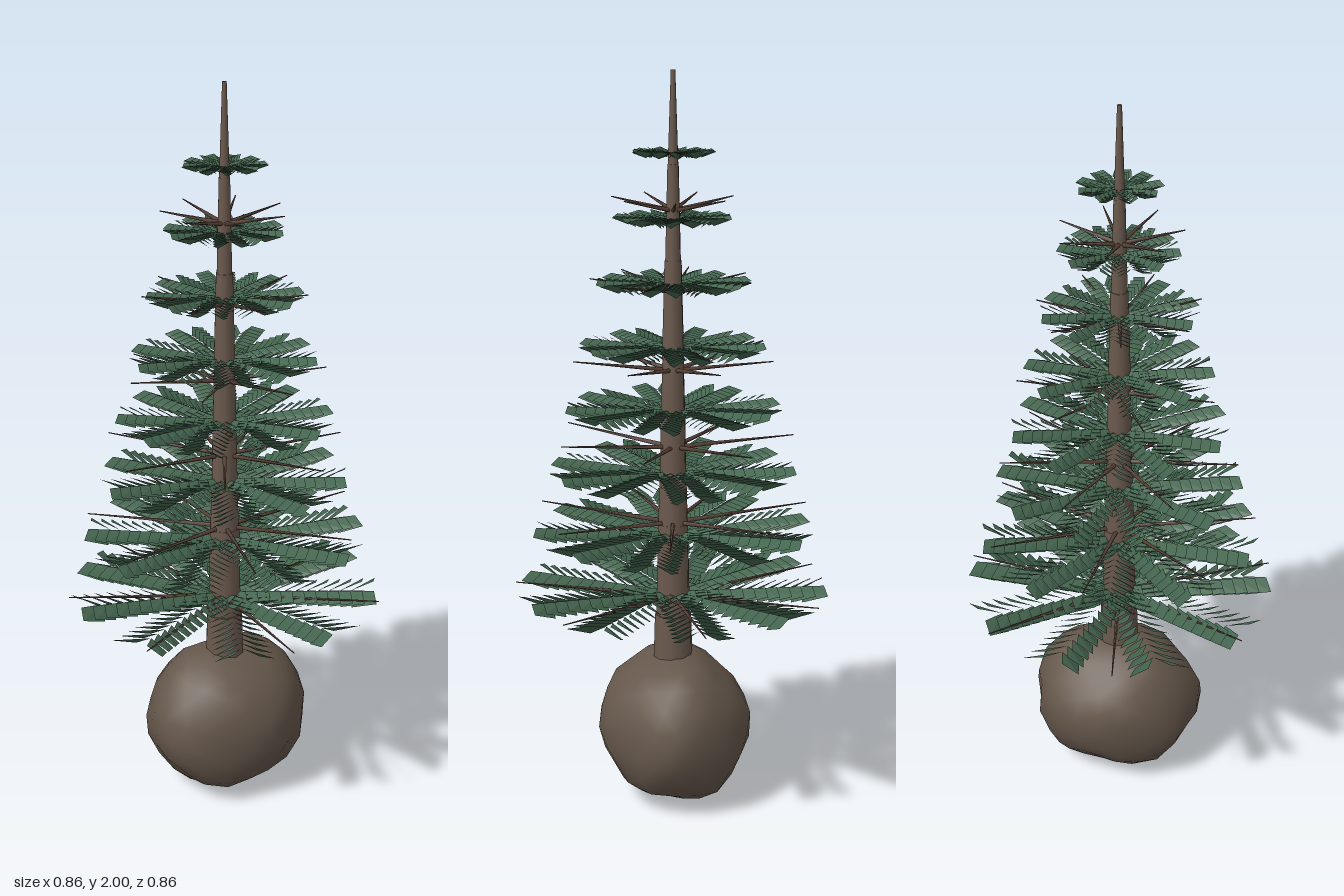
import * as THREE from 'three';
import { mergeVertices, mergeGeometries } from 'three/addons/utils/BufferGeometryUtils.js';

const AXIS = -0.008; // the trunk stands slightly off centre

const bark = new THREE.MeshStandardMaterial({ color: 0x6b5a4e });
bark.name = 'bark';
const twig = new THREE.MeshStandardMaterial({ color: 0x5a4238 });
twig.name = 'twig brown';
const soil = new THREE.MeshStandardMaterial({ color: 0x65574b });
soil.name = 'soil';
const needle = new THREE.MeshStandardMaterial({ color: 0x456650, side: THREE.DoubleSide });
needle.name = 'needle green';

function addMesh(parent, name, geometry, material) {
  const mesh = new THREE.Mesh(geometry, material);
  mesh.name = name;
  parent.add(mesh);
  return mesh;
}

// Lumpy root ball, smooth shaded over a coarse sphere
function rootBallGeometry() {
  let g = new THREE.IcosahedronGeometry(1, 3);
  g.deleteAttribute('uv');
  g.deleteAttribute('normal');
  g = mergeVertices(g, 1e-4);
  let seed = 7;
  const random = () => (seed = (seed * 16807) % 2147483647) / 2147483647;
  const p = g.attributes.position;
  const v = new THREE.Vector3();
  for (let i = 0; i < p.count; i++) {
    v.fromBufferAttribute(p, i);
    const wave = 0.04 * Math.sin(5 * v.x + 1) * Math.cos(4 * v.y) + 0.03 * Math.sin(6 * v.z + 3 * v.y);
    v.multiplyScalar(1 + wave + (random() - 0.5) * 0.04);
    p.setXYZ(i, v.x * 0.24, Math.max(v.y * 0.212 + 0.212, 0), v.z * 0.207);
  }
  g.computeVertexNormals();
  return g;
}

// Whorl of bare tapering twigs rising slightly outwards
function twigWhorl(y, length, rise, turn) {
  const parts = [];
  for (let i = 0; i < 7; i++) {
    const a = turn + (i * Math.PI * 2) / 7;
    const dir = new THREE.Vector3(length * Math.cos(a), rise, length * Math.sin(a));
    const g = new THREE.CylinderGeometry(0.0015, 0.007, dir.length(), 5);
    g.translate(0, dir.length() / 2, 0);
    const q = new THREE.Quaternion().setFromUnitVectors(new THREE.Vector3(0, 1, 0), dir.clone().normalize());
    g.applyQuaternion(q);
    g.translate(0, y, 0);
    parts.push(g);
  }
  return mergeGeometries(parts);
}

// One leaf: root, outer edge, tip, drooping inner edge as (along, across, up)
const LEAF = [[0, 0, 0], [0.061, 0.03, 0.014], [0.067, 0.082, 0], [0, 0.05, -0.028]];

// Ring of nine fronds, each a double row of overlapping leaves
function frondTier(y, reach, turn) {
  const positions = [];
  const size = 0.35 + 0.65 * (reach / 0.425);
  const last = reach - 0.067 * size;
  const rows = Math.max(5, Math.round(last / (0.029 * size)));
  for (let f = 0; f < 9; f++) {
    const a = turn + (f * Math.PI * 2) / 9;
    const c = Math.cos(a), s = Math.sin(a);
    for (let i = 0; i < rows; i++) {
      const r = 0.015 + (last - 0.015) * (i / (rows - 1));
      const scale = size * (0.75 + 0.25 * (i / (rows - 1)));
      for (const side of [-1, 1]) {
        const quad = LEAF.map(([along, across, up]) => {
          const u = r + along * scale, w = side * across * scale;
          return [u * c - w * s, y + up * scale + 0.03 * r, u * s + w * c];
        });
        const order = side > 0 ? [0, 2, 1, 0, 3, 2] : [0, 1, 2, 0, 2, 3];
        for (const k of order) positions.push(...quad[k]);
      }
    }
  }
  const g = new THREE.BufferGeometry();
  g.setAttribute('position', new THREE.Float32BufferAttribute(positions, 3));
  g.computeVertexNormals();
  return g;
}

export function createModel() {
  const model = new THREE.Group();
  model.name = 'saplingWithRootBall';
  addMesh(model, 'rootBall', rootBallGeometry(), soil);

  const tree = new THREE.Group();
  tree.name = 'tree';
  tree.position.x = AXIS;
  model.add(tree);

  // Trunk of stacked tapering sections: bottom, top, lower radius, upper radius
  const sections = [
    [0.36, 0.53, 0.056, 0.051],
    [0.53, 0.79, 0.047, 0.042],
    [0.79, 1.02, 0.041, 0.034],
    [1.02, 1.25, 0.035, 0.029],
    [1.25, 1.51, 0.03, 0.023],
    [1.51, 1.76, 0.021, 0.015],
    [1.76, 2.0, 0.014, 0.006],
  ];
  sections.forEach(([y0, y1, r0, r1], i) => {
    const g = new THREE.CylinderGeometry(r1, r0, y1 - y0, 10);
    addMesh(tree, `trunkSection${i + 1}`, g, bark).position.y = (y0 + y1) / 2;
  });

  // Bare twigs, each whorl turned a little further
  [0.435, 0.375, 0.325, 0.27, 0.22, 0.165].forEach((length, i) => {
    const g = twigWhorl(0.58 + i * 0.212, length, 0.035, (i * 12 * Math.PI) / 180);
    addMesh(tree, `twigWhorl${i + 1}`, g, twig);
  });

  // Green tiers, shrinking towards the top and staggered
  [0.42, 0.378, 0.33, 0.287, 0.245, 0.202, 0.152, 0.104].forEach((reach, i) => {
    const g = frondTier(0.593 + i * 0.171, reach, (i * Math.PI) / 9);
    addMesh(tree, `frondTier${i + 1}`, g, needle);
  });

  return model;
}
